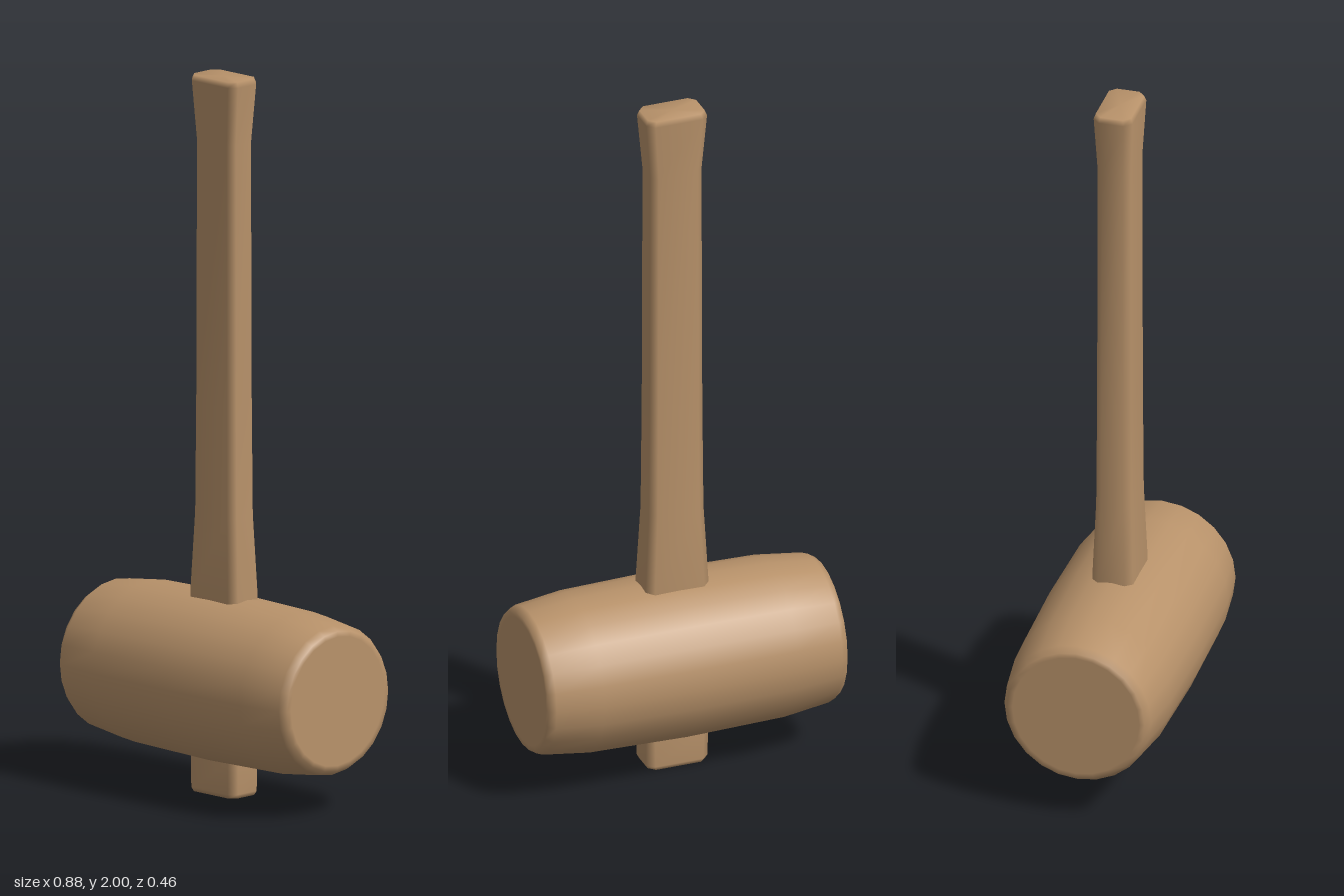
import * as THREE from 'three';

// Chamfered rectangular cross-section, counter-clockwise seen from above
function section(hw, hd, c) {
  return [
    [hw, hd - c], [hw, c - hd], [hw - c, -hd], [c - hw, -hd],
    [-hw, c - hd], [-hw, hd - c], [c - hw, hd], [hw - c, hd],
  ];
}

// Skin the cross-sections [y, halfWidth, halfDepth, chamfer] and cap both ends
function loft(levels) {
  const pos = [], index = [], n = 8;
  for (const [y, hw, hd, c] of levels) {
    for (const [x, z] of section(hw, hd, c)) pos.push(x, y, z);
  }
  const last = (levels.length - 1) * n;
  const bottom = levels.length * n, top = bottom + 1;
  pos.push(0, levels[0][0], 0, 0, levels[levels.length - 1][0], 0);
  for (let i = 0; i < n; i++) {
    const j = (i + 1) % n;
    for (let k = 0; k < last; k += n) {
      index.push(k + i, k + j, k + n + j, k + i, k + n + j, k + n + i);
    }
    index.push(bottom, j, i, top, last + i, last + j);
  }
  const geo = new THREE.BufferGeometry();
  geo.setAttribute('position', new THREE.Float32BufferAttribute(pos, 3));
  geo.setIndex(index);
  geo.computeVertexNormals();
  return geo;
}

export function createModel() {
  const group = new THREE.Group();
  group.name = 'mallet';
  const wood = new THREE.MeshStandardMaterial({ color: 0xb8926a });
  wood.name = 'wood';

  // Handle: flared at the grip end and where it enters the head
  const handle = new THREE.Mesh(loft([
    [0, 0.084, 0.05, 0.018],
    [0.012, 0.09, 0.056, 0.02],
    [0.1, 0.091, 0.057, 0.02],
    [0.55, 0.092, 0.058, 0.02],
    [0.78, 0.08, 0.05, 0.019],
    [1.1, 0.077, 0.048, 0.018],
    [1.82, 0.075, 0.047, 0.018],
    [1.985, 0.089, 0.055, 0.02],
    [2, 0.083, 0.05, 0.018],
  ]), wood);
  handle.name = 'handle';
  group.add(handle);

  // Head: barrel turned about the x axis, with bevelled striking faces
  const half = [[0.438, 0], [0.438, 0.18], [0.438, 0.195], [0.418, 0.208], [0.285, 0.225]];
  const profile = [
    ...half.map(([x, r]) => new THREE.Vector2(r, -x)),
    new THREE.Vector2(0.231, 0),
    ...half.slice().reverse().map(([x, r]) => new THREE.Vector2(r, x)),
  ];
  const headGeo = new THREE.LatheGeometry(profile, 24);
  headGeo.rotateZ(-Math.PI / 2);
  const head = new THREE.Mesh(headGeo, wood);
  head.name = 'head';
  head.position.y = 0.322;
  group.add(head);

  return group;
}
